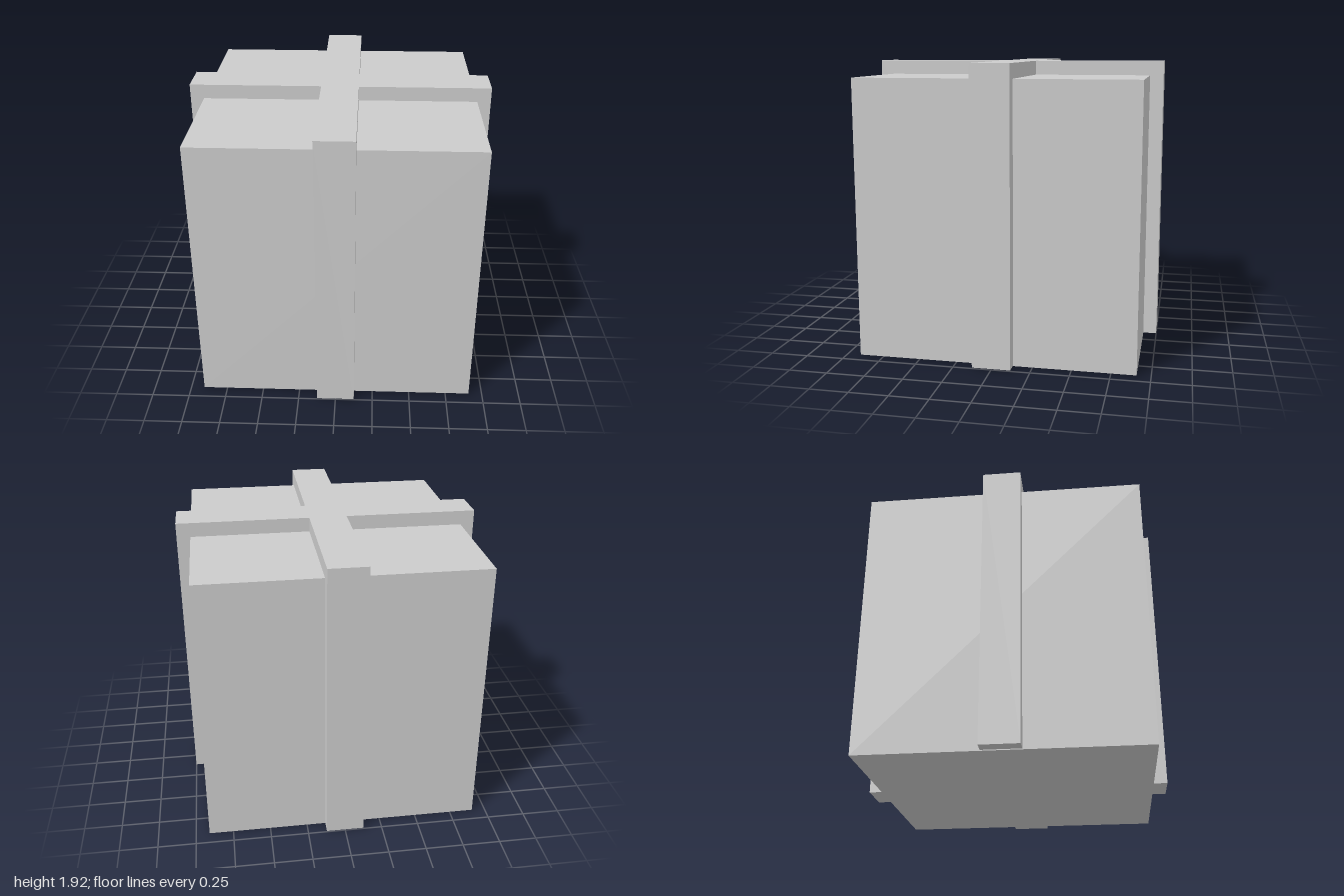
import * as THREE from 'three';

export function createModel() {
  const model = new THREE.Group();
  model.name = 'giftBox';
  const material = new THREE.MeshStandardMaterial({ color: 0xcccccc, flatShading: true });

  // Box body, standing on the ground
  const bodyWidth = 1.82, bodyHeight = 1.825;
  const body = new THREE.Mesh(new THREE.BoxGeometry(bodyWidth, bodyHeight, bodyWidth), material);
  body.name = 'box';
  body.position.y = bodyHeight / 2;
  model.add(body);

  // Crossed ribbon: a plus-shaped plan raised over the box and down all four sides
  const reach = 1, half = 0.125, bottom = 0.006, top = 1.92;
  const outline = [];
  for (let i = 0; i < 4; i++) {
    const turn = i * Math.PI / 2;
    for (const [x, y] of [[reach, -half], [reach, half], [half, half]]) {
      outline.push(new THREE.Vector2(x, y).rotateAround(new THREE.Vector2(), turn));
    }
  }
  const ribbonGeometry = new THREE.ExtrudeGeometry(new THREE.Shape(outline), {
    depth: top - bottom, bevelEnabled: false,
  });
  ribbonGeometry.rotateX(-Math.PI / 2);
  const ribbon = new THREE.Mesh(ribbonGeometry, material);
  ribbon.name = 'ribbon';
  ribbon.position.y = bottom;
  model.add(ribbon);

  return model;
}
